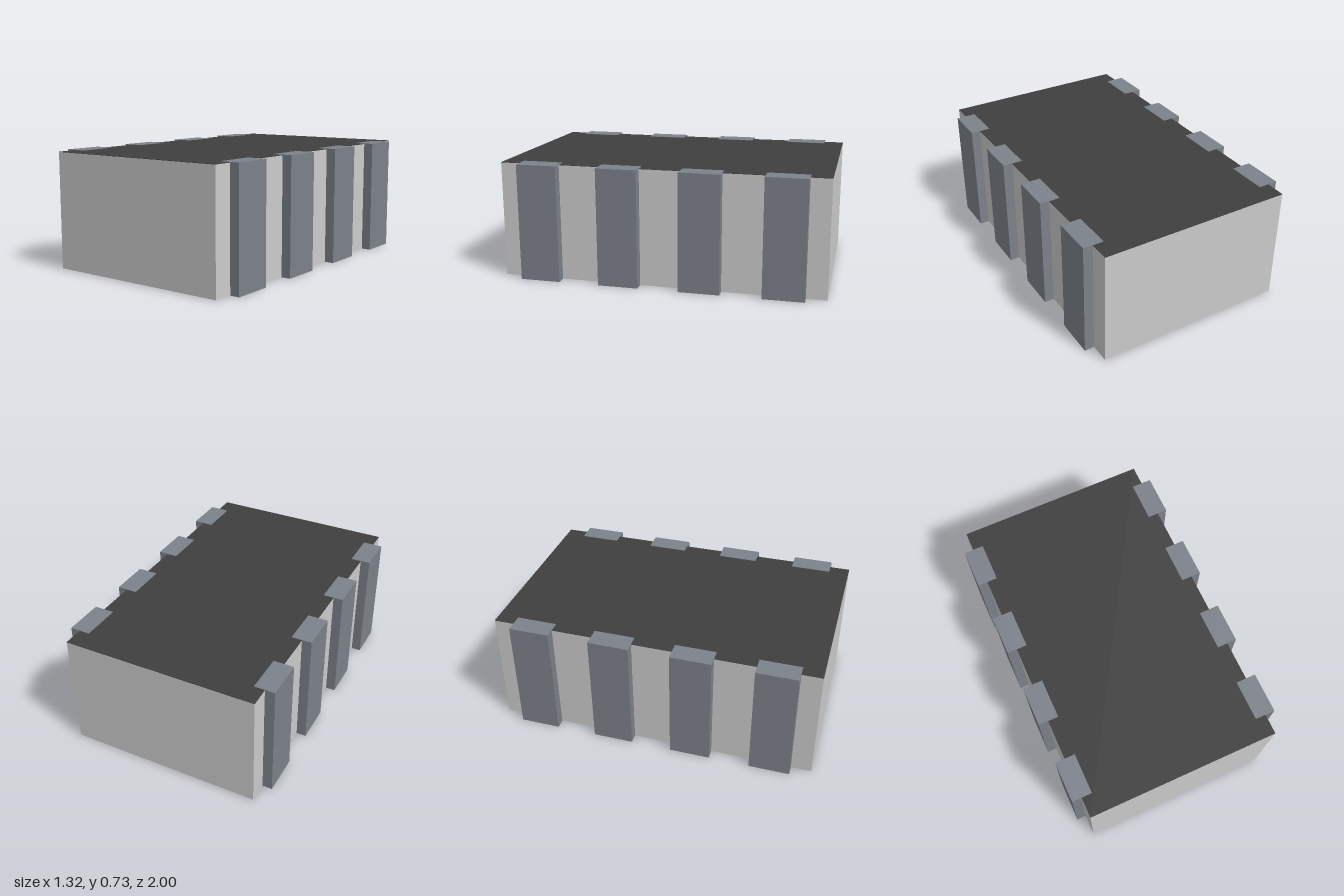
import * as THREE from 'three';

const WIDTH = 1.2, LENGTH = 2, HEIGHT = 0.725, SKIN = 0.002;

function addBox(parent, name, size, position, material) {
  const mesh = new THREE.Mesh(new THREE.BoxGeometry(...size), material);
  mesh.name = name;
  mesh.position.set(...position);
  parent.add(mesh);
  return mesh;
}

export function createModel() {
  const group = new THREE.Group();
  group.name = 'chipArray';
  const ceramic = new THREE.MeshStandardMaterial({ color: 0xcccccc });
  const coating = new THREE.MeshStandardMaterial({ color: 0x3f3f3f });
  const metal = new THREE.MeshStandardMaterial({ color: 0x7c828a });

  // Ceramic block, a hair inside the terminals' top and bottom
  const bodyHeight = HEIGHT - 3 * SKIN;
  addBox(group, 'body', [WIDTH, bodyHeight, LENGTH], [0, SKIN + bodyHeight / 2, 0], ceramic);

  // Thin dark coating on the top face
  addBox(group, 'topCoating', [WIDTH, SKIN, LENGTH], [0, HEIGHT - 1.5 * SKIN, 0], coating);

  // Four metal terminals along each long side, wrapping over top and bottom
  for (const side of [-1, 1]) {
    for (let i = 0; i < 4; i++) {
      addBox(group, side > 0 ? 'leftTerminal' : 'rightTerminal',
        [0.125, HEIGHT, 0.25], [side * 0.5975, HEIGHT / 2, -0.75 + i * 0.5], metal);
    }
  }
  return group;
}
